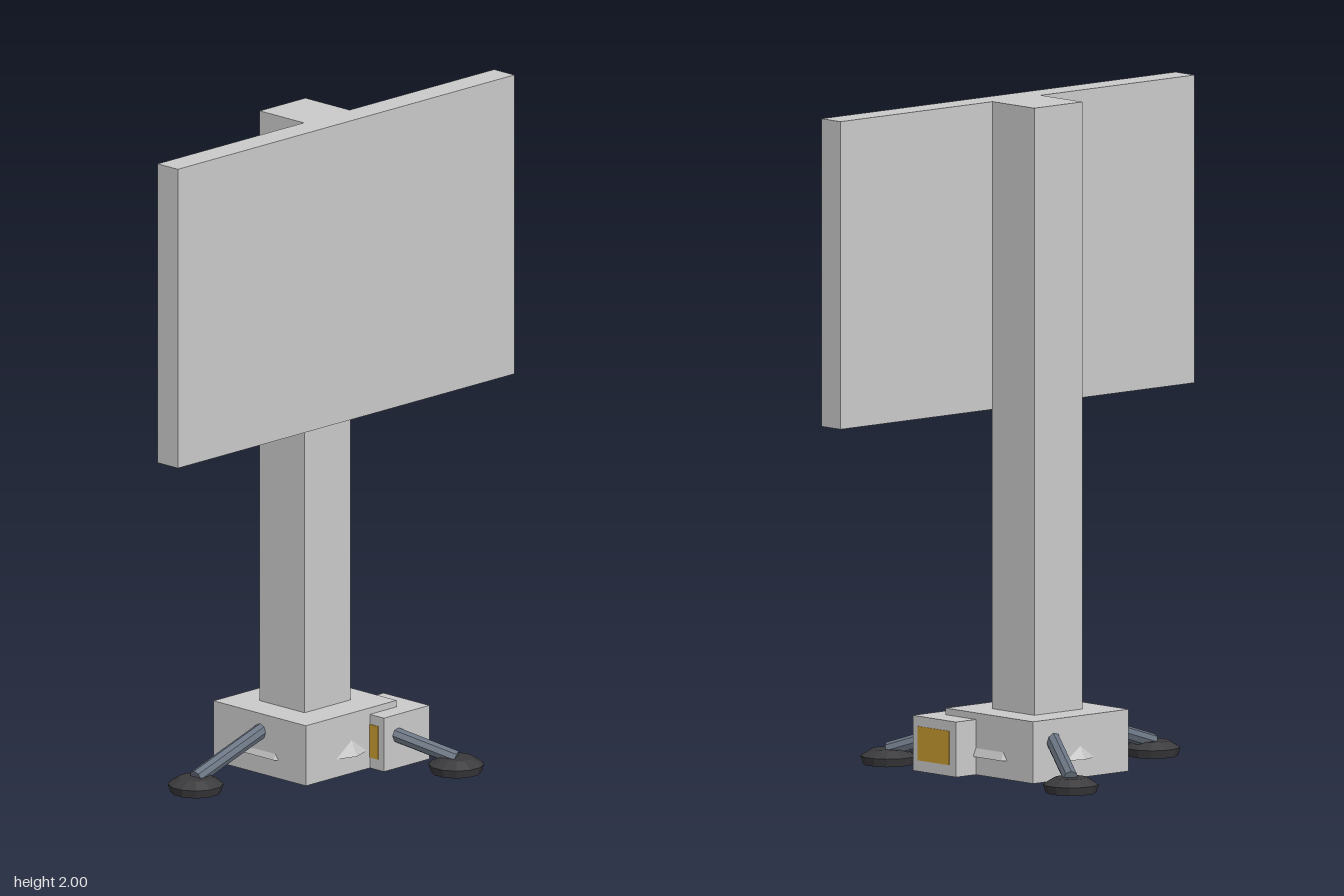
import * as THREE from 'three';

const mat = (name, color) => Object.assign(new THREE.MeshStandardMaterial({ color, flatShading: true }), { name });

export function createModel() {
  const grey = mat('light grey', 0xcacaca);
  const gold = mat('gold', 0xc79a30);
  const steel = mat('blue steel', 0x6a7482);
  const rubber = mat('dark rubber', 0x3b3b3e);

  const model = new THREE.Group();
  model.name = 'signStand';

  const add = (name, geometry, material, parent = model) => {
    const mesh = new THREE.Mesh(geometry, material);
    mesh.name = name;
    parent.add(mesh);
    return mesh;
  };
  // Box given by its lower and upper corners
  const box = (name, a, b, material) => {
    const size = b.map((v, i) => v - a[i]);
    const mesh = add(name, new THREE.BoxGeometry(...size), material);
    mesh.position.set(...a.map((v, i) => (v + b[i]) / 2));
    return mesh;
  };

  // Base, post and sign board
  box('base', [-0.193, 0, -0.193], [0.19, 0.185, 0.19], grey);
  box('post', [-0.097, 0.185, -0.1], [0.089, 2, 0.093], grey);
  box('board', [0.086, 1.08, -0.71], [0.17, 2, 0.71], grey);

  // Ten-sided tapered hub whose rim pokes out of the base
  const hub = add('hub', new THREE.CylinderGeometry(0.17, 0.211, 0.09, 10), grey);
  hub.rotation.y = Math.PI / 2;
  hub.position.set(0, 0.1, -0.003);

  // Control box with a gold plate front and back
  box('controlBox', [0.058, 0, -0.272], [0.248, 0.165, -0.08], grey);
  box('backPlate', [0.088, 0.033, -0.274], [0.225, 0.135, -0.271], gold);
  box('frontPlate', [0.088, 0.033, -0.081], [0.225, 0.135, -0.078], gold);

  // Three splayed legs with stepped feet
  const footProfile = [[0, 0], [0.075, 0], [0.083, 0.025], [0.05, 0.045], [0, 0.045]]
    .map(([r, y]) => new THREE.Vector2(r, y));
  const inner = new THREE.Vector3(0, 0.152, 0.12);
  const outer = new THREE.Vector3(0, 0.042, 0.462);
  for (let i = 0; i < 3; i++) {
    const leg = new THREE.Group();
    leg.name = 'leg' + (i + 1);
    leg.rotation.y = i * Math.PI * 2 / 3;
    model.add(leg);

    const strut = add('strut', new THREE.CylinderGeometry(0.023, 0.023, inner.distanceTo(outer), 8), steel, leg);
    strut.position.copy(inner).add(outer).multiplyScalar(0.5);
    strut.quaternion.setFromUnitVectors(new THREE.Vector3(0, 1, 0), inner.clone().sub(outer).normalize());

    const foot = add('foot', new THREE.LatheGeometry(footProfile, 12), rubber, leg);
    foot.rotation.y = Math.PI / 12;
    foot.position.z = 0.462;
  }
  return model;
}
